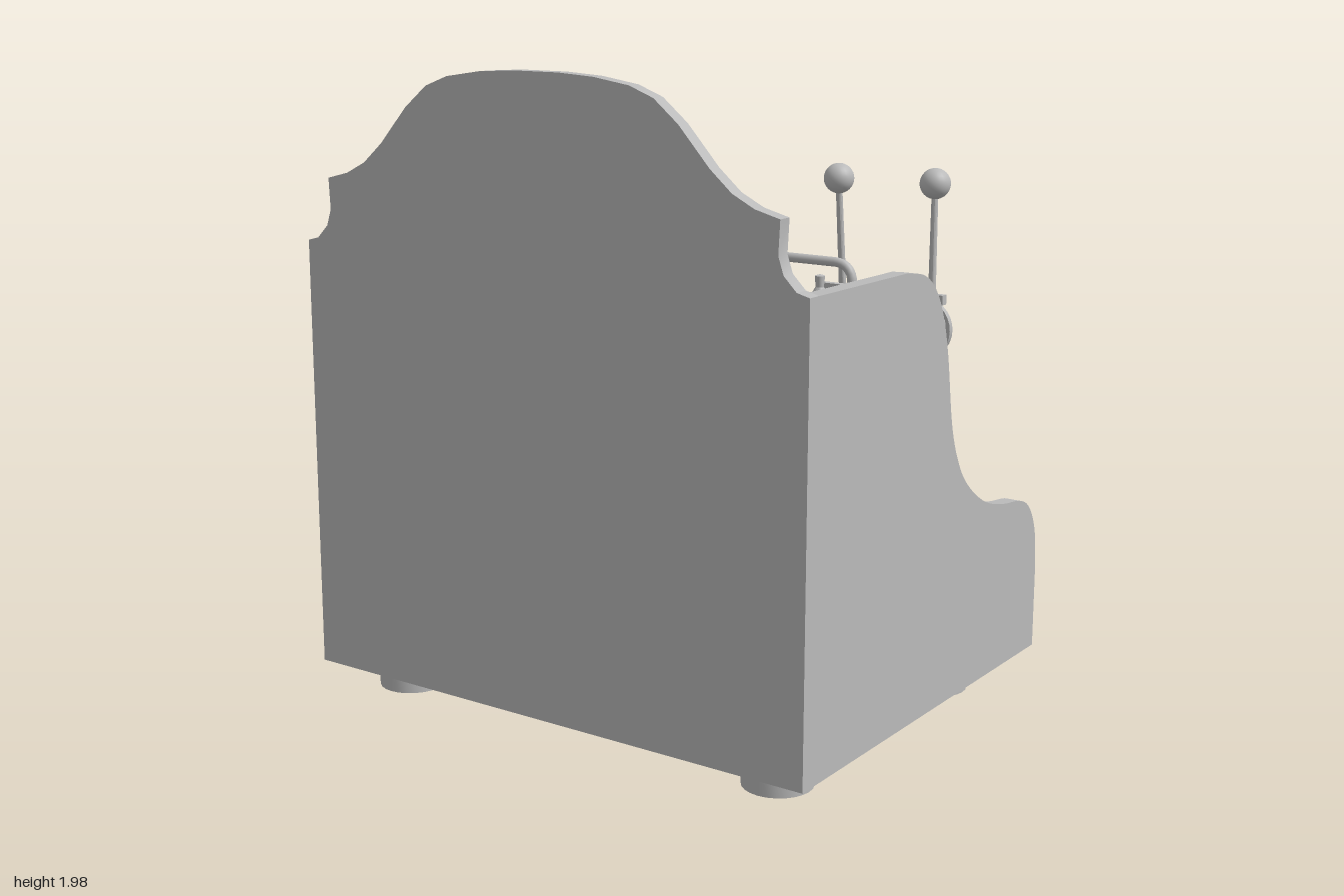
import * as THREE from 'three';
import { toCreasedNormals } from 'three/addons/utils/BufferGeometryUtils.js';

const steel = new THREE.MeshStandardMaterial({ color: 0xbababa });
steel.name = 'grey steel';
const V = (x, y, z) => new THREE.Vector3(x, y, z);

function add(parent, name, geo, x = 0, y = 0, z = 0) {
  const m = new THREE.Mesh(geo, steel);
  m.name = name;
  m.position.set(x, y, z);
  parent.add(m);
  return m;
}

// box given by its min and max corners
function block(parent, name, x0, x1, y0, y1, z0, z1) {
  return add(parent, name, new THREE.BoxGeometry(x1 - x0, y1 - y0, z1 - z0),
    (x0 + x1) / 2, (y0 + y1) / 2, (z0 + z1) / 2);
}

// lathe profile, standing along +y, turned to run from point a towards point b
function turned(parent, name, pts, a, b, segs = 28) {
  const geo = toCreasedNormals(new THREE.LatheGeometry(pts.map(p => new THREE.Vector2(...p)), segs), 0.6);
  const m = add(parent, name, geo, a.x, a.y, a.z);
  m.quaternion.setFromUnitVectors(V(0, 1, 0), b.clone().sub(a).normalize());
  return m;
}

function rod(parent, name, a, b, r0, r1 = r0, segs = 24) {
  const h = a.distanceTo(b);
  return turned(parent, name, [[0, 0], [r0, 0], [r1, h], [0, h]], a, b, segs);
}

function extrude(shape, depth) {
  return toCreasedNormals(new THREE.ExtrudeGeometry(shape, { depth, bevelEnabled: false, curveSegments: 24 }), 0.5);
}

// bent rail: straight legs with rounded corners
function rail(parent, name, p, r, bend) {
  const path = new THREE.CurvePath();
  const toward = (a, b) => a.clone().add(b.clone().sub(a).setLength(bend));
  const c = [toward(p[1], p[0]), toward(p[1], p[2]), toward(p[2], p[1]), toward(p[2], p[3])];
  path.add(new THREE.LineCurve3(p[0], c[0]));
  path.add(new THREE.QuadraticBezierCurve3(c[0], p[1], c[1]));
  path.add(new THREE.LineCurve3(c[1], c[2]));
  path.add(new THREE.QuadraticBezierCurve3(c[2], p[2], c[3]));
  path.add(new THREE.LineCurve3(c[3], p[3]));
  add(parent, name, new THREE.TubeGeometry(path, 120, r, 12));
}

function cup(parent, name, base, tip) {
  turned(parent, name, [[0, 0], [0.078, 0], [0.08, 0.008], [0.098, 0.2], [0.106, 0.2], [0.109, 0.265],
    [0.1, 0.27], [0.1, 0.325], [0.094, 0.333], [0.082, 0.333], [0.078, 0.31], [0, 0.31]], base, tip);
}

function cabinet(g) {
  // curved side panels
  const side = new THREE.Shape();
  side.moveTo(-0.77, 0.09);
  side.lineTo(0.66, 0.09);
  side.lineTo(0.66, 0.35);
  side.splineThru([[0.645, 0.48], [0.6, 0.565], [0.53, 0.605], [0.4, 0.625], [0.28, 0.66], [0.17, 0.73],
    [0.1, 0.81], [0.045, 0.94], [0.005, 1.16], [-0.03, 1.28], [-0.08, 1.365], [-0.15, 1.415], [-0.25, 1.435]]
    .map(p => new THREE.Vector2(...p)));
  side.lineTo(-0.77, 1.44);
  const sideGeo = extrude(side, 0.05);
  add(g, 'leftSidePanel', sideGeo, 0, 0, 0.95);
  add(g, 'rightSidePanel', sideGeo, 0, 0, -0.78);

  // back panel with crest, mirrored about z = 0.11
  const half = [[0.89, 1.44], [0.85, 1.45], [0.81, 1.49], [0.793, 1.54], [0.798, 1.635], [0.72, 1.655], [0.65, 1.69],
    [0.58, 1.75], [0.48, 1.86], [0.4, 1.925], [0.32, 1.955], [0.2, 1.973], [0.08, 1.98]];
  const back = new THREE.Shape([[0.89, 0.09], ...half, ...half.map(([z, y]) => [-z, y]).reverse(), [-0.89, 0.09]]
    .map(([z, y]) => new THREE.Vector2(z + 0.11, y)));
  add(g, 'backPanel', extrude(back, 0.045).rotateY(-Math.PI / 2), -0.725);

  block(g, 'topDeck', -0.725, -0.12, 1.3, 1.32, -0.73, 0.95);
  block(g, 'splashPanel', -0.14, -0.12, 0.46, 1.32, -0.73, 0.95);
  block(g, 'counter', -0.14, 0.575, 0.48, 0.5, -0.73, 0.95);
  block(g, 'frontPanel', 0.555, 0.575, 0.12, 0.5, -0.73, 0.95);
  block(g, 'brewBackplate', -0.12, -0.07, 0.51, 0.81, -0.58, 0.22);

  for (const x of [-0.575, 0.36]) for (const z of [0.8, -0.58])
    rod(g, 'foot', V(x, 0, z), V(x, 0.12, z), 0.105);

  rail(g, 'frontRail', [V(0.57, 0.36, 0.775), V(0.755, 0.36, 0.775), V(0.755, 0.36, -0.565), V(0.57, 0.36, -0.565)], 0.02, 0.06);
  rail(g, 'cupRail', [V(-0.165, 1.31, 0.775), V(-0.165, 1.43, 0.775), V(-0.165, 1.43, -0.57), V(-0.165, 1.31, -0.57)], 0.014, 0.06);
}

function steamValve(parent, z, ballX) {
  const g = new THREE.Group();
  g.name = 'steamValve';
  g.position.z = z;
  parent.add(g);
  const barrel = new THREE.CylinderGeometry(0.075, 0.075, 0.37, 28).rotateZ(Math.PI / 2).scale(1, 0.65, 1);
  add(g, 'valveBarrel', barrel, 0.065, 1.2, 0);
  rod(g, 'wallFlange', V(-0.12, 1.18, 0), V(-0.1, 1.18, 0), 0.085);
  block(g, 'valveBracket', -0.12, 0.05, 1.11, 1.17, -0.03, 0.03);
  turned(g, 'valveDisc', [[0, 0], [0.09, 0], [0.09, 0.018], [0.06, 0.018], [0.05, 0.045], [0, 0.045]],
    V(0.245, 1.18, 0), V(1, 1.18, 0));
  // lever with ball knob
  block(g, 'leverHinge', 0.255, 0.31, 1.19, 1.27, -0.025, 0.025);
  block(g, 'hingeFork', 0.25, 0.275, 1.255, 1.285, -0.06, 0.06);
  rod(g, 'lever', V(0.295, 1.22, 0), V(ballX, 1.6, 0), 0.012, 0.01, 12);
  add(g, 'leverBall', new THREE.SphereGeometry(0.047, 24, 16), ballX, 1.615, 0);
  // nozzle below, cap above
  turned(g, 'nozzle', [[0, 0], [0.037, 0], [0.04, 0.03], [0.022, 0.055], [0.022, 0.08], [0.035, 0.085],
    [0.035, 0.13], [0.02, 0.13], [0.02, 0.19], [0, 0.19]], V(0.14, 1, 0), V(0.14, 2, 0), 16);
  turned(g, 'valveCap', [[0, 0], [0.022, 0], [0.022, 0.03], [0.013, 0.045], [0.016, 0.08], [0, 0.085]],
    V(0.15, 1.245, 0), V(0.15, 2, 0), 16);
}

function brewGroup(parent, z, angle) {
  const g = new THREE.Group();
  g.name = 'brewGroup';
  g.position.z = z;
  parent.add(g);
  // neck sweeping from the wall to the head, flaring in width as it drops
  const neck = new THREE.Shape([[-0.12, 0.83], [0.1, 0.83], [0.1, 0.91], [0.03, 0.925], [-0.02, 0.955],
    [-0.05, 1.0], [-0.07, 1.0], [-0.12, 1.0]].map(p => new THREE.Vector2(...p)));
  const geo = new THREE.ExtrudeGeometry(neck, { depth: 2, bevelEnabled: false }).translate(0, 0, -1);
  const p = geo.attributes.position;
  for (let i = 0; i < p.count; i++)
    p.setZ(i, p.getZ(i) * THREE.MathUtils.mapLinear(Math.max(p.getY(i), 0.91), 0.91, 1, 0.08, 0.032));
  add(g, 'neck', toCreasedNormals(geo, 0.6));
  block(g, 'neckMount', -0.12, -0.07, 1.0, 1.065, -0.032, 0.032);
  block(g, 'neckPlate', -0.12, -0.08, 0.81, 0.93, -0.085, 0.085);
  rod(g, 'brewHead', V(0.11, 0.81, 0), V(0.11, 0.91, 0), 0.115, 0.115, 36);

  // portafilter, swung about the head
  const f = new THREE.Group();
  f.name = 'portafilter';
  f.position.x = 0.11;
  f.rotation.y = -angle;
  g.add(f);
  turned(f, 'filterBasket', [[0, 0], [0.045, 0], [0.085, 0.02], [0.095, 0.06], [0, 0.06]], V(0, 0.755, 0), V(0, 2, 0));
  const a = V(0.07, 0.795, 0), b = V(0.63, 0.685, 0);
  turned(f, 'portafilterHandle', [[0, 0], [0.018, 0], [0.018, 0.1], [0.03, 0.105], [0.03, 0.13], [0.02, 0.135],
    [0.02, 0.16], [0.03, 0.165], [0.038, 0.22], [0.046, 0.32], [0.044, 0.4], [0.036, 0.48], [0.035, 0.52],
    [0.042, 0.565], [0.036, 0.572], [0, 0.572]], a, b, 20);
}

function sideKey(parent) {
  const g = new THREE.Group();
  g.name = 'sideKey';
  g.position.set(-0.165, 1.168, -0.78);
  parent.add(g);
  rod(g, 'keyShaft', V(0, 0, 0.02), V(0, 0, -0.11), 0.016, 0.016, 12);
  const ring = (name, y, z, r, t) => {
    const m = add(g, name, new THREE.TorusGeometry(r, t, 10, 24), 0, y, z);
    m.rotation.y = Math.PI / 2 + 0.3;
  };
  ring('keyHub', 0, -0.125, 0.025, 0.013);
  for (const s of [1, -1]) {
    ring('keyLoop', s * 0.075, -0.165, 0.036, 0.015);
    rod(g, 'keyArm', V(0, s * 0.015, -0.13), V(0, s * 0.05, -0.148), 0.015, 0.015, 10);
  }
}

export function createModel() {
  const g = new THREE.Group();
  g.name = 'espressoMachine';
  cabinet(g);
  steamValve(g, 0.48, 0.255);
  steamValve(g, 0.79, 0.297);
  brewGroup(g, 0.045, 0.24);
  brewGroup(g, -0.4, -0.01);
  sideKey(g);

  // gauges and central knob
  for (const z of [0.18, -0.52])
    turned(g, 'gauge', [[0, 0], [0.077, 0], [0.077, 0.02], [0.07, 0.026], [0.055, 0.026], [0.052, 0.016], [0, 0.016]],
      V(-0.12, 1.21, z), V(1, 1.21, z));
  turned(g, 'centralKnob', [[0, 0], [0.105, 0], [0.105, 0.02], [0.072, 0.024], [0.072, 0.095], [0.056, 0.1],
    [0.053, 0.07], [0, 0.07]], V(-0.12, 1.175, -0.178), V(1, 1.175, -0.178));

  // cups on the deck, one on the counter, one lying down
  for (const [x, z] of [[-0.6, -0.585], [-0.355, -0.585], [-0.58, -0.34], [-0.33, -0.36], [-0.62, -0.04]])
    cup(g, 'deckCup', V(x, 1.26, z), V(x, 2, z));
  cup(g, 'counterCup', V(0.38, 0.505, 0.495), V(0.38, 2, 0.495));
  cup(g, 'lyingCup', V(-0.465, 1.39, -0.18), V(-0.25, 1.365, 0.06));
  return g;
}
